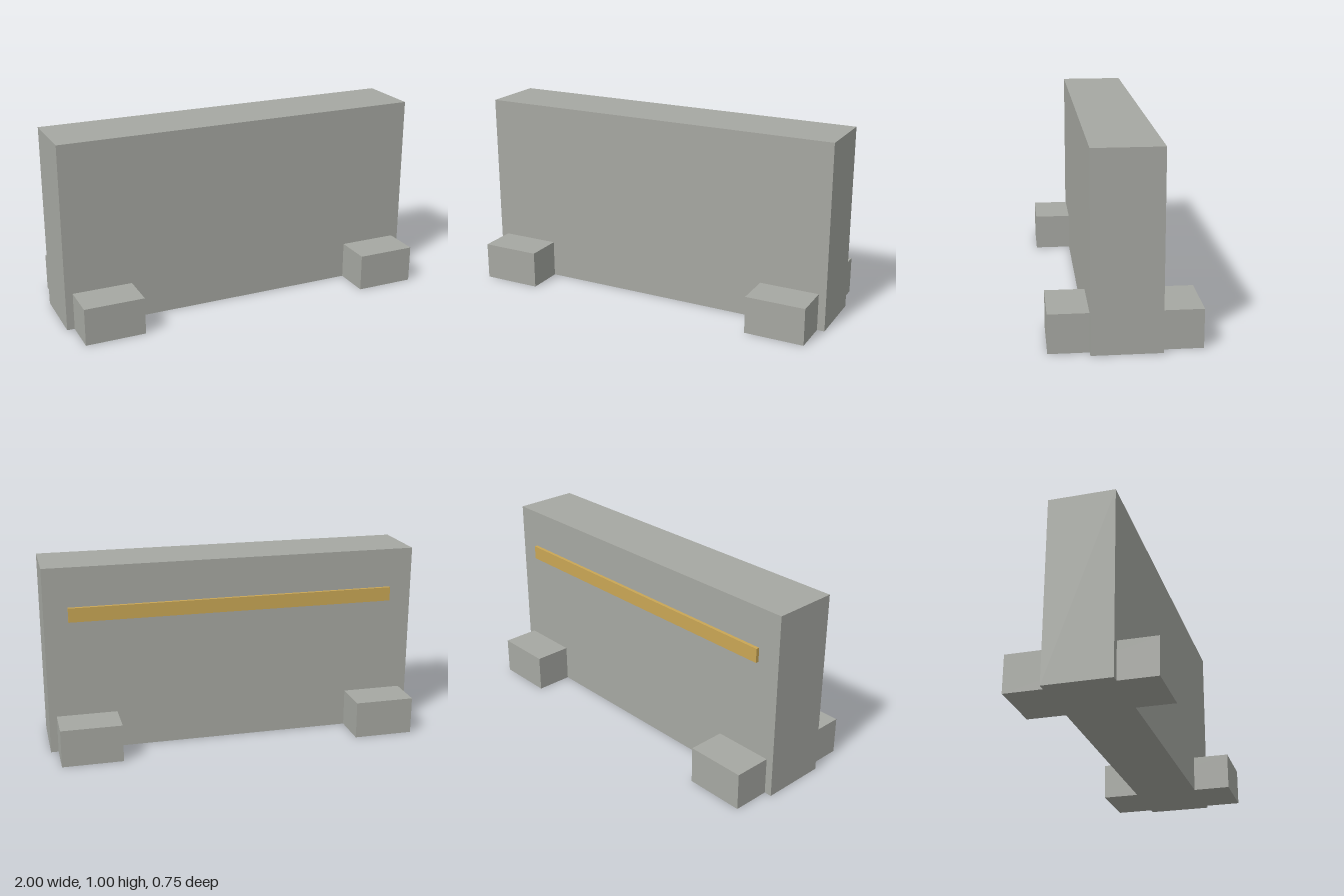
import * as THREE from 'three';

export function createModel() {
  const model = new THREE.Group();
  model.name = 'barrier';

  const concrete = new THREE.MeshStandardMaterial({ name: 'concrete grey', color: 0xa6a8a2 });
  const ochre = new THREE.MeshStandardMaterial({ name: 'ochre', color: 0xc9a655 });

  // Box from its lower and upper corners
  function box(name, material, min, max) {
    const size = max.map((v, i) => v - min[i]);
    const mesh = new THREE.Mesh(new THREE.BoxGeometry(...size), material);
    mesh.position.set(...min.map((v, i) => (v + max[i]) / 2));
    mesh.name = name;
    model.add(mesh);
  }

  // Upright slab
  box('wall', concrete, [-1, 0, -0.174], [1, 1, 0.174]);

  // Cross feet running through the slab near each end
  for (const [name, x] of [['leftFoot', 0.8], ['rightFoot', -0.8]]) {
    box(name, concrete, [x - 0.16, 0, -0.375], [x + 0.16, 0.2, 0.375]);
  }

  // Raised strip on the back face
  box('backStrip', ochre, [-0.875, 0.715, -0.192], [0.875, 0.79, -0.17]);

  return model;
}
